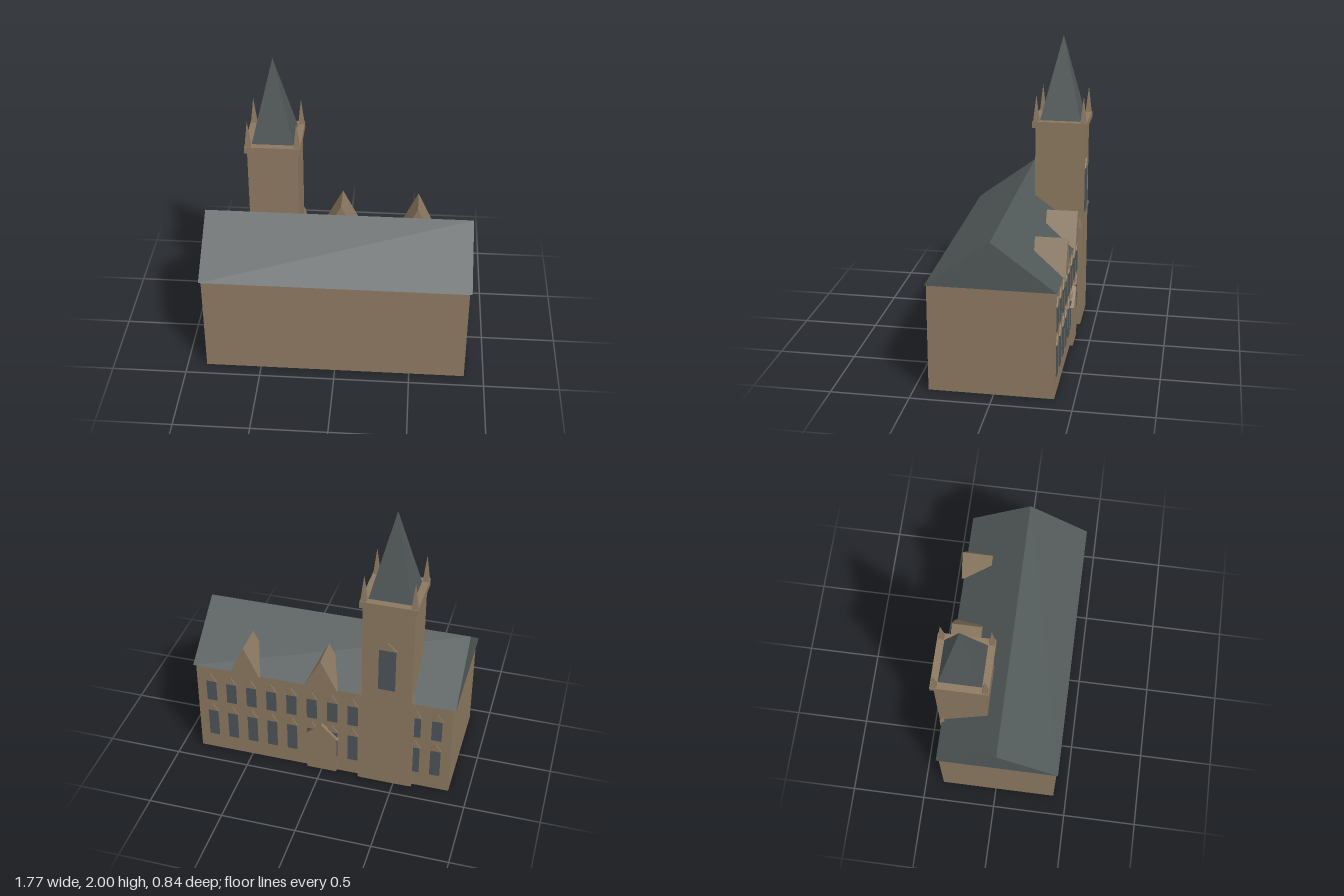
import * as THREE from 'three';

export function createModel() {
  const stone = new THREE.MeshStandardMaterial({ name: 'brown stone', color: 0x8b7860, flatShading: true });
  const slate = new THREE.MeshStandardMaterial({ name: 'grey slate', color: 0x515858, flatShading: true });
  const glass = new THREE.MeshStandardMaterial({ name: 'dark glass', color: 0x4b5357, flatShading: true });

  const model = new THREE.Group();
  model.name = 'hallWithTower';

  function add(name, geometry, material, parent = model) {
    const mesh = new THREE.Mesh(geometry, material);
    mesh.name = name;
    parent.add(mesh);
    return mesh;
  }

  // Box given by its limits on each axis
  function box(name, x0, x1, y0, y1, z0, z1, material, parent) {
    const g = new THREE.BoxGeometry(x1 - x0, y1 - y0, z1 - z0);
    g.translate((x0 + x1) / 2, (y0 + y1) / 2, (z0 + z1) / 2);
    return add(name, g, material, parent);
  }

  // Outline in x and y, extruded from z0 to z1
  function prism(name, points, z0, z1, material, parent) {
    const shape = new THREE.Shape(points.map(([x, y]) => new THREE.Vector2(x, y)));
    const g = new THREE.ExtrudeGeometry(shape, { depth: z1 - z0, bevelEnabled: false });
    g.translate(0, 0, z0);
    return add(name, g, material, parent);
  }

  // Square pyramid standing on y0
  function pyramid(name, x, z, half, y0, y1, material, parent) {
    const g = new THREE.ConeGeometry(half * Math.SQRT2, y1 - y0, 4);
    g.rotateY(Math.PI / 4);
    g.translate(x, (y0 + y1) / 2, z);
    return add(name, g, material, parent);
  }

  const BACK = -0.375; // windowed wall

  // Main hall and its gabled roof
  box('hallWalls', -0.87, 0.87, 0, 0.7, BACK, 0.41, stone);
  const roof = prism('hallRoof', [[-0.39, 0.7], [0.42, 0.7], [0.015, 1.0]], -0.885, 0.885, slate);
  roof.rotation.y = -Math.PI / 2;

  // Roof gables
  for (const [x, half] of [[0, 0.112], [0.52, 0.103]]) {
    prism('roofGable', [[x - half, 0.7], [x + half, 0.7], [x, 0.92]], -0.405, -0.2, stone);
  }

  // Pointed window: glass plate with a stone gable head
  function pointedWindow(x, y0, spring, top, half, wall, parent) {
    const w = new THREE.Group();
    w.name = 'window';
    parent.add(w);
    box('pane', x - half, x + half, y0, spring, wall - 0.006, wall + 0.002, glass, w);
    const h = half * 1.15;
    prism('windowHead', [[x - h, spring], [x + h, spring], [x, top]], wall - 0.008, wall + 0.002, stone, w);
  }

  for (let i = 0; i < 12; i++) {
    const x = 0.77 - 0.14 * i;
    pointedWindow(x, 0.12, 0.33, 0.39, 0.034, BACK, model);
    pointedWindow(x, 0.42, 0.58, 0.64, 0.034, BACK, model);
  }

  // Porch with a projecting gable trim
  const porch = new THREE.Group();
  porch.name = 'porch';
  model.add(porch);
  prism('porchBody', [[-0.1, 0], [0.1, 0], [0.1, 0.28], [0, 0.375], [-0.1, 0.28]], -0.396, BACK, stone, porch);
  prism('porchTrim', [[-0.113, 0.28], [-0.095, 0.27], [0, 0.365], [0.095, 0.27], [0.113, 0.28], [0, 0.39]],
    -0.402, BACK, stone, porch);

  // Tower
  const tower = new THREE.Group();
  tower.name = 'tower';
  model.add(tower);
  const tx = -0.437, tz = -0.243;
  box('towerWalls', tx - 0.165, tx + 0.165, 0, 1.4, -0.405, -0.08, stone, tower);
  box('cornice', tx - 0.181, tx + 0.181, 1.4, 1.445, tz - 0.182, tz + 0.182, stone, tower);
  pyramid('spire', tx, tz, 0.136, 1.445, 2, slate, tower);
  pointedWindow(tx, 0.79, 1.1, 1.16, 0.055, -0.405, tower);

  for (const sx of [-1, 1]) {
    // Corner pinnacles
    for (const sz of [-1, 1]) {
      pyramid('pinnacle', tx + sx * 0.158, tz + sz * 0.158, 0.019, 1.445, 1.625, stone, tower);
    }
    // Slim side buttresses with pointed caps
    const bx = tx + sx * 0.17;
    box('buttress', bx - 0.014, bx + 0.014, 0, 0.71, -0.402, -0.374, stone, tower);
    pyramid('buttressCap', bx, -0.388, 0.016, 0.71, 0.79, stone, tower);
  }

  return model;
}
